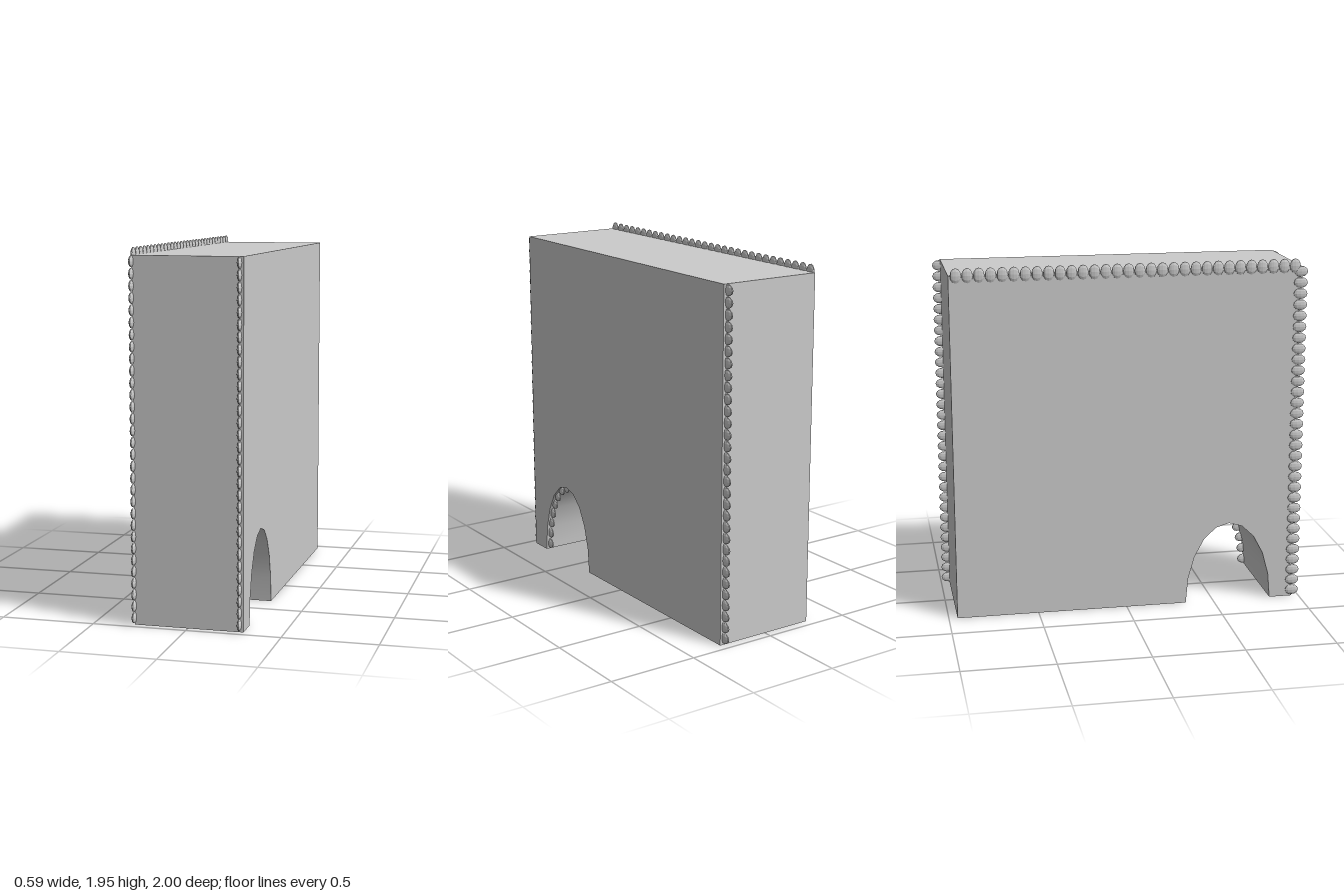
import * as THREE from 'three';
import { toCreasedNormals } from 'three/addons/utils/BufferGeometryUtils.js';

const RIGHT = 0.295, LEFT = -0.285;        // side faces of the slab
const FRONT = 0.96, BACK = -0.952, TOP = 1.908;
const ARCH = { z: 0.585, w: 0.245, h: 0.46, segments: 10 };

const grey = new THREE.MeshStandardMaterial({ color: 0xcccccc });
const greyFlat = new THREE.MeshStandardMaterial({ color: 0xcccccc, flatShading: true });
const beadGeometry = new THREE.SphereGeometry(1, 10, 6);

// Slab profile in (z, y) with an elliptical doorway cut into its foot
function createSlab() {
  const shape = new THREE.Shape();
  shape.moveTo(BACK, 0);
  for (let i = 0; i <= ARCH.segments; i++) {
    const a = Math.PI * (1 - i / ARCH.segments);
    shape.lineTo(ARCH.z + ARCH.w * Math.cos(a), ARCH.h * Math.sin(a));
  }
  shape.lineTo(FRONT, 0);
  shape.lineTo(FRONT, TOP);
  shape.lineTo(BACK, TOP);
  shape.closePath();
  const geometry = new THREE.ExtrudeGeometry(shape, { depth: RIGHT - LEFT, bevelEnabled: false });
  geometry.rotateY(-Math.PI / 2);
  geometry.translate(RIGHT, 0, 0);
  const slab = new THREE.Mesh(toCreasedNormals(geometry, 0.75), grey);
  slab.name = 'archedSlab';
  return slab;
}

// Row of thin oval beads; place(t) gives y, z and the outward angle in the yz plane
function createBeadRow(name, count, x, reach, place) {
  const row = new THREE.Group();
  row.name = name;
  for (let i = 0; i < count; i++) {
    const { y, z, angle } = place(i, (i + 0.5) / count);
    const bead = new THREE.Mesh(beadGeometry, greyFlat);
    bead.name = 'bead';
    bead.position.set(x, y, z);
    bead.rotation.x = -angle;
    bead.scale.set(0.011, 0.03, reach);
    row.add(bead);
  }
  return row;
}

export function createModel() {
  const model = new THREE.Group();
  model.name = 'beadedArchBlock';
  model.add(createSlab());

  // Beaded edges: three uprights and one along the top
  const pitch = 0.0613, leftX = -0.287, rightX = 0.274;
  const upright = (z, angle) => (i) => ({ y: 0.038 + i * pitch, z, angle });
  model.add(
    createBeadRow('frontRightBeads', 31, leftX, 0.04, upright(FRONT, 0)),
    createBeadRow('frontLeftBeads', 31, rightX, 0.04, upright(FRONT, 0)),
    createBeadRow('backLeftBeads', 31, rightX, 0.046, upright(BACK - 0.002, Math.PI)),
    createBeadRow('topBeads', 31, leftX, 0.042,
      (i) => ({ y: TOP, z: 0.926 - i * pitch, angle: Math.PI / 2 })),
  );

  // Beads on the front half of the doorway, from its foot to its crown
  const arc = new THREE.EllipseCurve(ARCH.z, 0, ARCH.w, ARCH.h, 0, Math.PI / 2);
  model.add(createBeadRow('archBeads', 8, rightX, 0.044, (i, t) => {
    const p = arc.getPointAt(t), d = arc.getTangentAt(t);
    return { y: p.y, z: p.x, angle: Math.atan2(-d.x, d.y) };
  }));
  return model;
}
